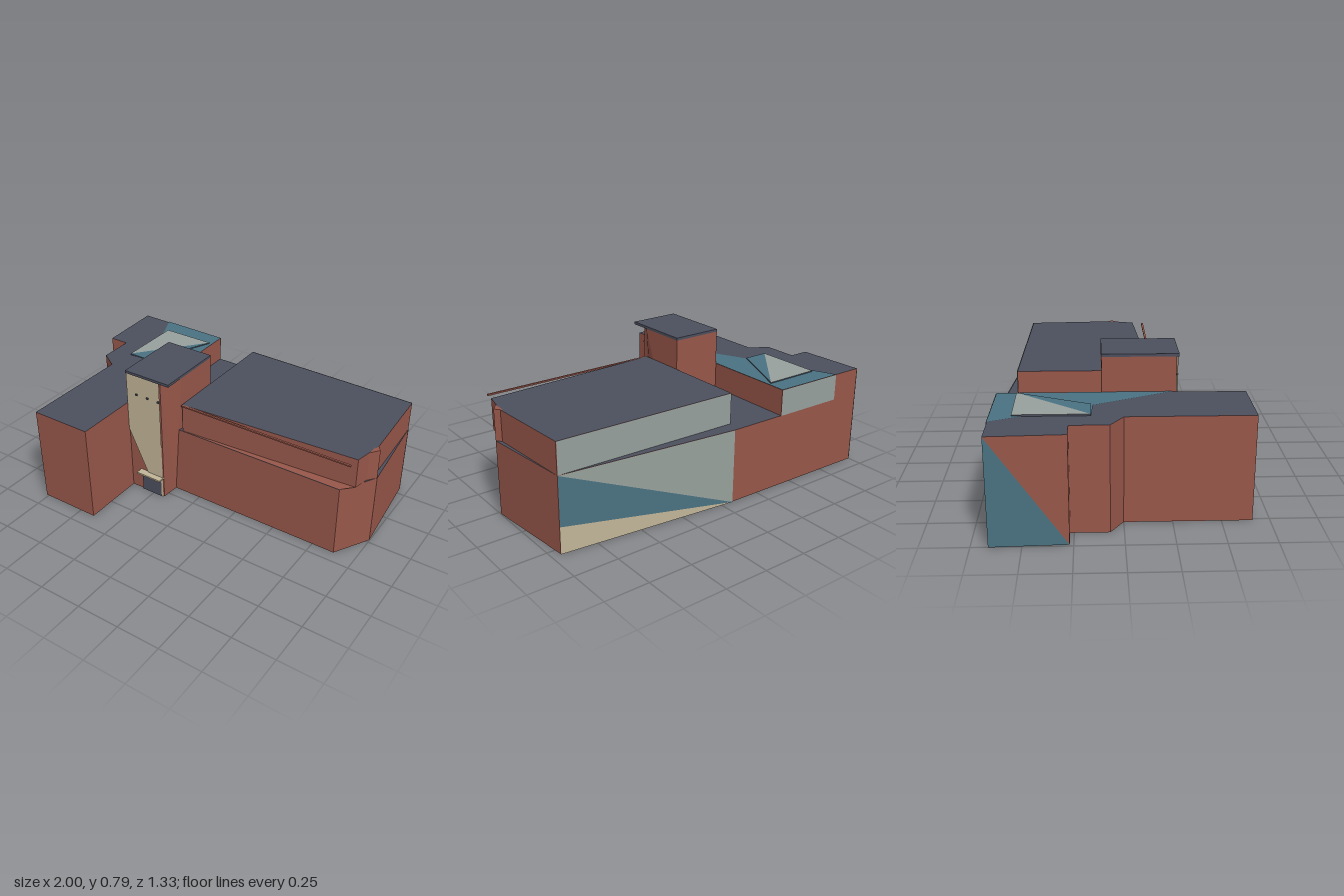
import * as THREE from 'three';

const mat = (name, color, side = THREE.FrontSide) => {
  const m = new THREE.MeshStandardMaterial({ color, side });
  m.name = name;
  return m;
};

export function createModel() {
  const model = new THREE.Group();
  model.name = 'building';
  const brick = mat('brick', 0x98574a);
  const slate = mat('slate', 0x4c505e);
  const beige = mat('beige', 0xc2b598, THREE.DoubleSide);
  const teal = mat('teal', 0x4a7282, THREE.DoubleSide);
  const glass = mat('greyGlass', 0x97a09c, THREE.DoubleSide);

  const add = (name, geometry, material) => {
    const mesh = new THREE.Mesh(geometry, material);
    mesh.name = name;
    model.add(mesh);
    return mesh;
  };

  // Vertical prism over a plan of [x, z] points, with its own roof material
  const prism = (name, plan, y0, y1, wall = brick, roof = slate) => {
    const shape = new THREE.Shape(plan.map(([x, z]) => new THREE.Vector2(x, -z)));
    const g = new THREE.ExtrudeGeometry(shape, { depth: y1 - y0, bevelEnabled: false });
    g.rotateX(-Math.PI / 2).translate(0, y0, 0);
    const half = g.groups[0].count / 2;
    const total = g.attributes.position.count;
    g.clearGroups();
    g.addGroup(0, half, 0);
    g.addGroup(half, half, 1);
    g.addGroup(half * 2, total - half * 2, 0);
    return add(name, g, [wall, roof]);
  };

  // Flat painted face from a fan of [x, y, z] corners
  const face = (name, material, corners) => {
    const points = [];
    for (let i = 1; i < corners.length - 1; i++) points.push(...corners[0], ...corners[i], ...corners[i + 1]);
    const g = new THREE.BufferGeometry();
    g.setAttribute('position', new THREE.Float32BufferAttribute(points, 3));
    g.computeVertexNormals();
    return add(name, g, material);
  };

  const box = (name, material, x0, x1, y0, y1, z0, z1) => {
    const g = new THREE.BoxGeometry(x1 - x0, y1 - y0, z1 - z0);
    g.translate((x0 + x1) / 2, (y0 + y1) / 2, (z0 + z1) / 2);
    return add(name, g, material);
  };

  // Main masses
  prism('sideWing', [[-1, -0.663], [-0.985, -0.27], [-0.87, -0.27], [-0.87, -0.07], [-0.765, 0],
    [-0.765, 0.66], [-0.405, 0.66], [-0.405, -0.655]], 0, 0.575);
  prism('mainHallBase', [[-0.405, -0.655], [-0.07, -0.65], [0.95, -0.548], [0.998, -0.02],
    [0.88, 0.182], [-0.17, 0.182], [-0.405, 0.18]], 0, 0.425);
  prism('mainHallUpper', [[-0.11, -0.57], [0.95, -0.546], [0.975, -0.05], [0.94, 0.12], [-0.11, 0.18]], 0.425, 0.6);
  // Corner pier on the end wall
  prism('endPier', [[0.965, -0.06], [0.998, -0.02], [0.96, 0.03]], 0.425, 0.6, brick, brick);
  // Ledge over the lower front wall and the thin beam above it
  face('frontLedge', brick, [[-0.11, 0.427, 0.18], [0.88, 0.427, 0.18], [0.94, 0.427, 0.12]]);
  box('frontBeam', brick, -0.11, 0.93, 0.592, 0.6, 0.178, 0.19);

  // Entrance tower: one corner leans inward towards the ground
  const tower = prism('tower', [[-0.405, -0.105], [-0.11, -0.105], [-0.11, 0.182], [-0.175, 0.29], [-0.405, 0.29]], 0, 0.77);
  const pos = tower.geometry.attributes.position;
  for (let i = 0; i < pos.count; i++) {
    if (pos.getY(i) < 0.01 && pos.getX(i) > -0.12 && pos.getZ(i) > 0) pos.setX(i, -0.168);
  }
  tower.geometry.computeVertexNormals();
  box('towerRoof', slate, -0.405, -0.11, 0.77, 0.785, -0.105, 0.303);
  const zf = 0.297;
  face('towerFrontPanel', beige, [[-0.178, 0.77, zf], [-0.405, 0.77, zf], [-0.405, 0.4, zf],
    [-0.28, 0.13, zf], [-0.19, 0.13, zf], [-0.19, 0, zf], [-0.178, 0, zf]]);
  box('door', slate, -0.325, -0.19, 0, 0.128, 0.288, 0.297);
  box('doorCanopy', beige, -0.338, -0.175, 0.128, 0.138, 0.288, 0.333);
  for (const x of [-0.335, -0.26, -0.185]) box('towerLamp', slate, x - 0.006, x + 0.006, 0.645, 0.655, 0.29, 0.305);

  // Rear glazing
  face('rearUpperGlazing', glass, [[0.948, 0.425, -0.549], [-0.108, 0.425, -0.573], [-0.108, 0.6, -0.573], [0.948, 0.6, -0.549]]);
  const near = [0.95, -0.552], far = [-0.07, -0.654];
  const rear = (p, y) => [p[0], y, p[1]];
  face('rearLowerGlazing', glass, [rear(near, 0.425), rear(far, 0), rear(far, 0.425)]);
  face('rearLowerTeal', teal, [rear(near, 0.425), rear(near, 0.15), rear(far, 0)]);
  face('rearLowerBeige', beige, [rear(near, 0.15), rear(near, 0), rear(far, 0)]);
  face('wingRearGlazing', glass, [[-0.405, 0.425, -0.659], [-0.82, 0.425, -0.665], [-0.82, 0.575, -0.665], [-0.405, 0.575, -0.659]]);
  face('wingEndPanel', teal, [[-1.002, 0.575, -0.663], [-1.002, 0, -0.663], [-0.987, 0, -0.27]]);

  // Teal roof field and skylight on the wing
  const yr = 0.578;
  face('wingRoofField', teal, [[-0.405, yr, -0.655], [-0.82, yr, -0.663], [-0.745, yr, -0.49],
    [-0.745, yr, -0.16], [-0.6, yr, -0.15], [-0.405, yr, 0.27]]);
  prism('skylightGlass', [[-0.745, -0.55], [-0.42, -0.55], [-0.745, -0.16]], 0.575, 0.584, slate, glass);
  prism('skylightCorner', [[-0.745, -0.16], [-0.42, -0.55], [-0.6, -0.16]], 0.575, 0.584, slate, teal);

  return model;
}
